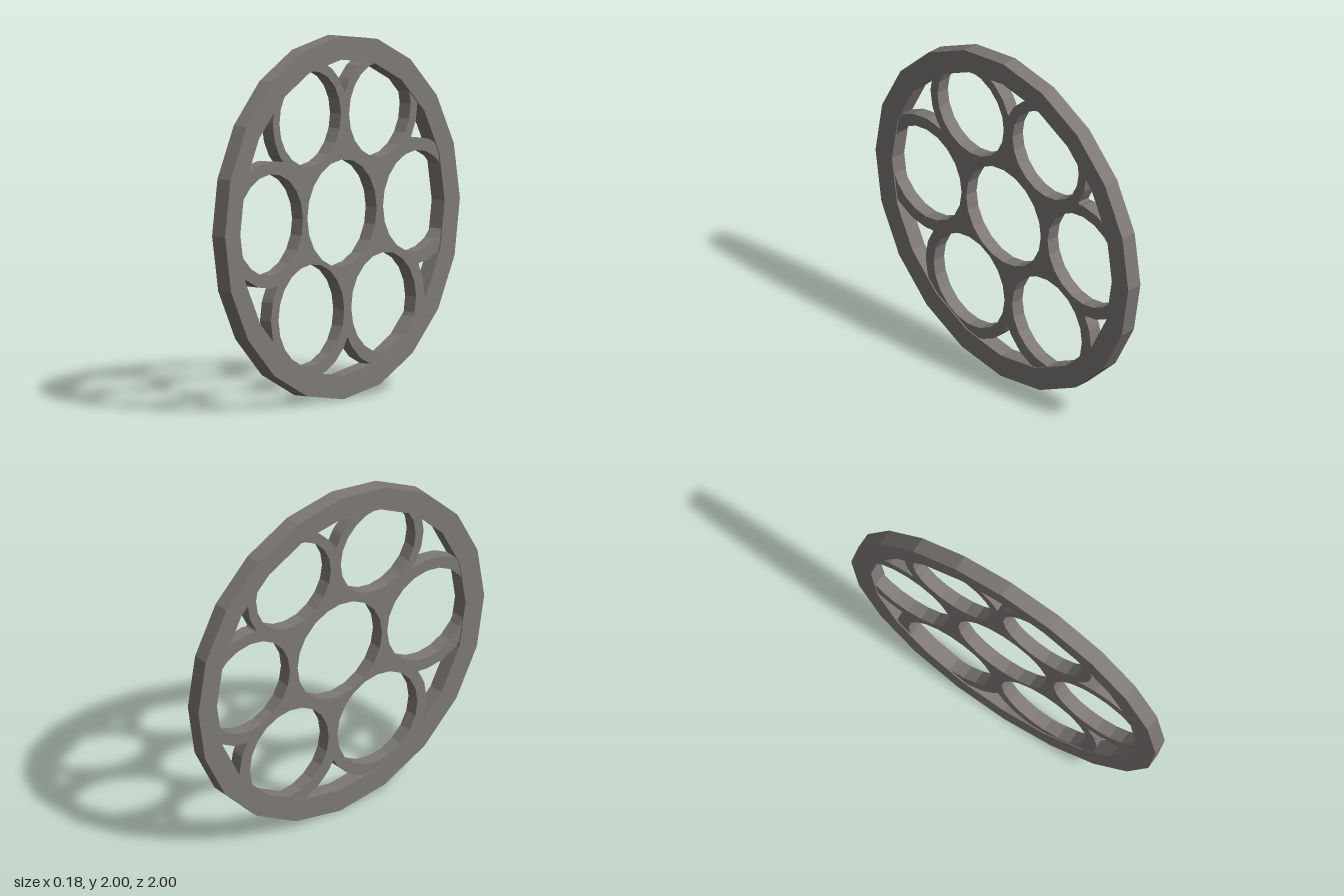
import * as THREE from 'three';

const SIDES = 20;
const HUB = { x: -0.005, y: 0.024, r: 0.295 };
// Openings around the hub: centre, hole radius and outer ring radius
const RINGS = [
  { x: 0.26, y: 0.572, r: 0.262, R: 0.318 },
  { x: -0.333, y: 0.562, r: 0.262, R: 0.32 },
  { x: 0.606, y: 0.024, r: 0.279, R: 0.349 },
  { x: -0.633, y: 0.024, r: 0.279, R: 0.349 },
  { x: 0.262, y: -0.51, r: 0.28, R: 0.344 },
  { x: -0.354, y: -0.504, r: 0.276, R: 0.349 },
];

// Regular polygon with a corner at the top, counter-clockwise
function polygon(x, y, r) {
  return Array.from({ length: SIDES }, (_, i) => {
    const a = (i / SIDES) * Math.PI * 2;
    return new THREE.Vector2(x - r * Math.sin(a), y + r * Math.cos(a));
  });
}

// Flat plate with holes, centred on its thickness
function plate(name, outline, holes, depth, material) {
  const shape = new THREE.Shape(outline);
  // Holes run clockwise so their walls face into the opening
  shape.holes = holes.map((h) => new THREE.Path(h.reverse()));
  const geometry = new THREE.ExtrudeGeometry(shape, { depth, bevelEnabled: false });
  geometry.translate(0, 0, -depth / 2);
  const mesh = new THREE.Mesh(geometry, material);
  mesh.name = name;
  return mesh;
}

// Distance along a ray from the hub to the far side of a polygonal ring (0 if missed)
function farSide(ring, dx, dy) {
  const apothem = ring.R * Math.cos(Math.PI / SIDES);
  let near = 0, far = Infinity;
  for (let i = 0; i < SIDES; i++) {
    const a = ((i + 0.5) / SIDES) * Math.PI * 2;
    const nx = Math.sin(a), ny = Math.cos(a);
    const along = nx * dx + ny * dy;
    if (Math.abs(along) < 1e-9) continue;
    const t = (apothem - nx * (HUB.x - ring.x) - ny * (HUB.y - ring.y)) / along;
    if (along > 0) far = Math.min(far, t);
    else near = Math.max(near, t);
  }
  return near < far ? far : 0;
}

// Outer edge of all the joined rings, its outermost parts buried in the rim
function spiderOutline() {
  const steps = 360;
  return Array.from({ length: steps }, (_, i) => {
    const a = (i / steps) * Math.PI * 2;
    const dx = Math.cos(a), dy = Math.sin(a);
    const reach = Math.max(0.42, ...RINGS.map((ring) => farSide(ring, dx, dy)));
    const d = Math.min(reach, 0.935);
    return new THREE.Vector2(HUB.x + d * dx, HUB.y + d * dy);
  });
}

export function createModel() {
  const material = new THREE.MeshStandardMaterial({ color: 0x7d7876, flatShading: true });

  const wheel = new THREE.Group();
  wheel.name = 'wheel';
  wheel.rotation.y = -Math.PI / 2;

  // Outer rim
  wheel.add(plate('rim', polygon(0, 0, 1), [polygon(0, 0, 0.87)], 0.092, material));

  // Hub and surrounding rings joined in one plate
  const holes = [HUB, ...RINGS].map((h) => polygon(h.x, h.y, h.r));
  wheel.add(plate('ringSpokes', spiderOutline(), holes, 0.078, material));

  // Slight lean of the whole wheel
  const model = new THREE.Group();
  model.name = 'ringWheel';
  model.add(wheel);
  model.rotation.set(0, 0.045, 0.009);
  model.position.y = 1;
  const root = new THREE.Group();
  root.add(model);
  return root;
}
